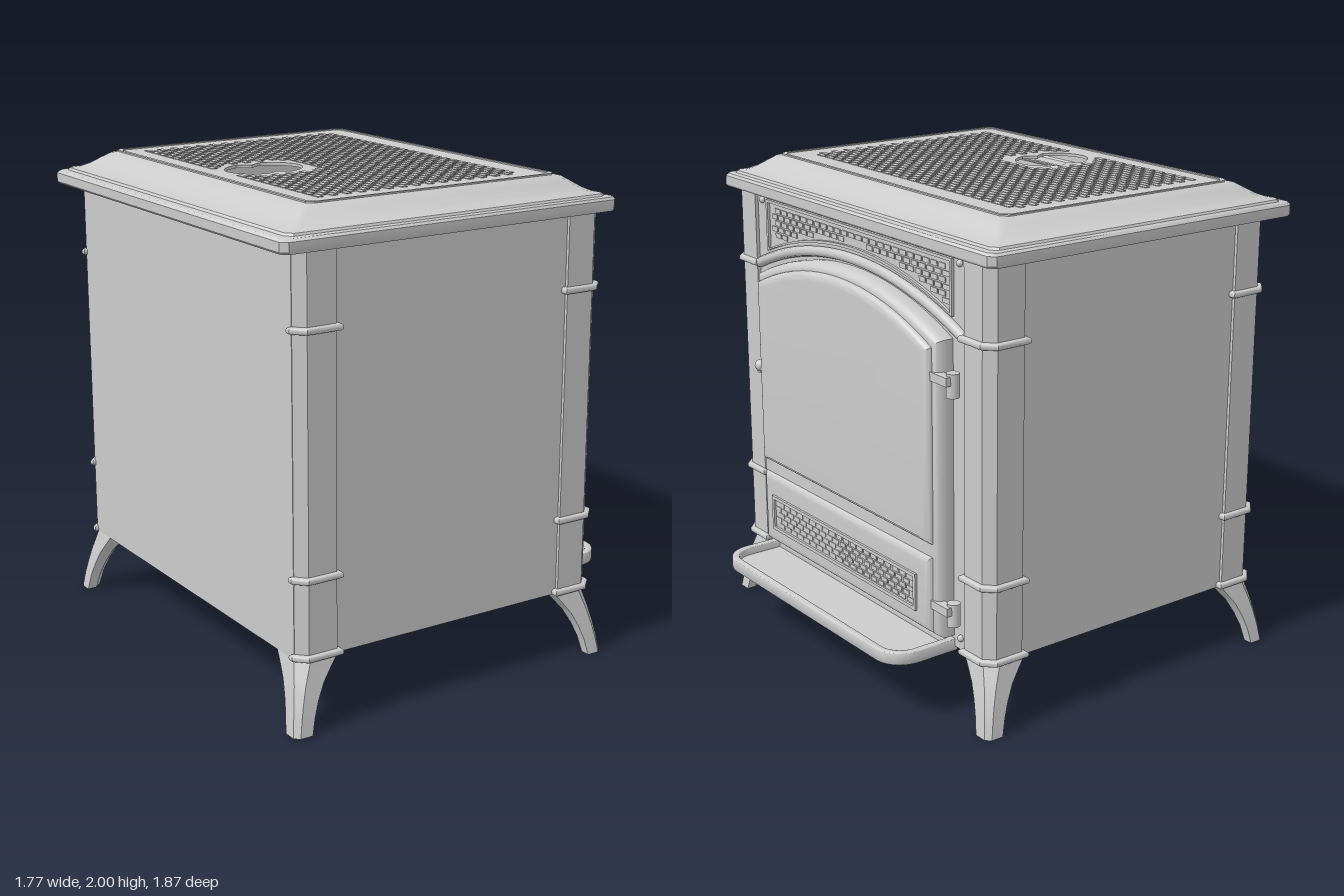
import * as THREE from 'three';
import { mergeGeometries, toCreasedNormals } from 'three/addons/utils/BufferGeometryUtils.js';

const mat = new THREE.MeshStandardMaterial({ color: 0xcccccc, side: THREE.DoubleSide });

export function createModel() {
  const root = new THREE.Group();
  const add = (name, geo, x = 0, y = 0, z = 0) => {
    const m = new THREE.Mesh(geo, mat);
    m.name = name;
    m.position.set(x, y, z);
    root.add(m);
    return m;
  };
  const poly = pts => new THREE.Shape(pts.map(p => new THREE.Vector2(p[0], p[1])));

  // Extrude a plan outline (x, -z) upwards from y
  const slab = (shape, y, h, bevel = 0) => {
    const g = new THREE.ExtrudeGeometry(shape, {
      depth: h, curveSegments: 16, bevelEnabled: bevel > 0, bevelSize: bevel, bevelThickness: bevel, bevelSegments: 4,
    });
    return toCreasedNormals(g.rotateX(-Math.PI / 2).translate(0, y, 0), 0.6);
  };
  // Extrude a front outline (-z, y) towards +x, bevelled inwards, ending at x1
  const facing = (shape, x0, x1, bevel = 0, thick = bevel) => {
    const g = new THREE.ExtrudeGeometry(shape, {
      depth: x1 - x0 - 2 * thick, curveSegments: 24, bevelEnabled: bevel > 0,
      bevelSize: bevel, bevelOffset: -bevel, bevelThickness: thick, bevelSegments: 6,
    });
    return toCreasedNormals(g.rotateY(Math.PI / 2).translate(x0 + thick, 0, 0), 0.6);
  };
  // Skin through a list of rings with equal point counts
  const loft = (rings, capEnd = false) => {
    const n = rings[0].length, idx = [];
    for (let i = 0; i < rings.length - 1; i++) for (let j = 0; j < n; j++) {
      const a = i * n + j, b = i * n + (j + 1) % n;
      idx.push(a, b, a + n, b, b + n, a + n);
    }
    if (capEnd) for (let j = 1; j < n - 1; j++) idx.push((rings.length - 1) * n, (rings.length - 1) * n + j, (rings.length - 1) * n + j + 1);
    const g = new THREE.BufferGeometry();
    g.setAttribute('position', new THREE.Float32BufferAttribute(rings.flat(2), 3));
    g.setIndex(idx);
    return toCreasedNormals(g, 0.6);
  };
  const arcY = (u, w, side, top) => {
    const h = top - side, R = (w * w + h * h) / (2 * h);
    return top - R + Math.sqrt(Math.max(0, R * R - u * u));
  };
  // Outline with a straight base and an arched top
  const arched = (w, y0, side, top) => {
    const pts = [[-w, y0], [w, y0]];
    for (let i = 0; i <= 24; i++) {
      const u = w - i * w / 12;
      pts.push([u, arcY(u, w, side, top)]);
    }
    return pts;
  };
  const rect = (u0, u1, v0, v1) => [[u0, v0], [u1, v0], [u1, v1], [u0, v1]];
  const framed = (outer, inner) => { const s = poly(outer); s.holes.push(poly(inner)); return s; };
  // Staggered embossed tiles; place(u, v) gives a position or null
  const weave = (u0, u1, v0, v1, du, dv, size, place) => {
    const parts = [];
    let row = 0;
    for (let v = v0 + dv / 2; v < v1; v += dv, row++)
      for (let u = u0 + du * (row % 2 ? 1 : 0.5); u < u1 - du * 0.4; u += du) {
        const p = place(u, v);
        if (p) parts.push(new THREE.BoxGeometry(...size).translate(...p));
      }
    return mergeGeometries(parts);
  };

  // Cabinet walls, open underneath
  for (const s of [1, -1]) add('sidePanel', new THREE.BoxGeometry(1.2, 1.57, 0.02), -0.1, 1.065, s * 0.857);
  add('backPanel', new THREE.BoxGeometry(0.02, 1.57, 1.68), -0.792, 1.065, 0);

  // Corner columns with bands and splayed legs
  const corner = (sx, sz, grow, lx, lz, c) => {
    const X = (sx > 0 ? 0.60 : -0.80) + sx * grow, Z = 0.88 + grow, t = 0.03 + grow;
    return poly([[0, -c], [0, -lz], [-t, -lz], [-t, -c - t * 0.4], [-c - t * 0.4, -t], [-lx, -t], [-lx, 0], [-c, 0]]
      .map(([a, b]) => [X + sx * a, -sz * (Z + b)]));
  };
  const legRows = [[0.28, 0, 0.165], [0.24, 0.008, 0.14], [0.19, 0.019, 0.112], [0.13, 0.031, 0.093], [0.07, 0.042, 0.081], [0, 0.052, 0.074]];
  for (const sx of [1, -1]) for (const sz of [1, -1]) {
    add('column', slab(corner(sx, sz, 0, 0.165, 0.15, 0.04), 0.28, 1.57));
    for (const y of [0.29, 0.60, 1.55])
      add('columnBand', slab(corner(sx, sz, 0.008, 0.182, sx > 0 ? 0.165 : 0.05, 0.042), y - 0.003, 0.006, 0.01));
    const rings = legRows.map(([y, o, w]) => [[o, o - w * 0.28], [o, o - w], [o - w * 0.55, o - w], [o - w, o - w * 0.55], [o - w, o], [o - w * 0.28, o]]
      .map(([a, b]) => [(sx > 0 ? 0.59 : -0.80) + sx * a, y, sz * (0.88 + b)]));
    add('leg', loft(rings, true));
  }

  // Lid: moulded rim rising to a flat top with the flue opening
  const lid = new THREE.Group();
  lid.name = 'lid';
  const ring = (d, y, c = 0.025) => {
    const x0 = -0.88 + d * 1.25, x1 = 0.645 - d * 1.1, z = 0.935 - d * 0.97;
    return [[x0 + c, z], [x1 - c, z], [x1, z - c], [x1, c - z], [x1 - c, -z], [x0 + c, -z], [x0, c - z], [x0, z - c]]
      .map(([x, zz]) => [x, y, zz]);
  };
  const rim = [[0.1, 1.85], [0.005, 1.85], [0, 1.858], [0, 1.895], [0.008, 1.905], [0.03, 1.908], [0.036, 1.917], [0.06, 1.922],
    [0.09, 1.938], [0.12, 1.962], [0.145, 1.981], [0.17, 1.988]].map(([d, y]) => ring(d, y));
  lid.add(add('lidRim', loft(rim)));
  const flat = pts => pts.map(p => [p[0], -p[2]]);
  const hole = [];
  for (let i = 0; i < 72; i++) {
    const a = i / 72 * Math.PI * 2, k = Math.max(0, 1 - Math.abs(Math.cos(a)) / 0.32);
    hole.push([-0.395 + 0.163 * Math.cos(a), 0.133 * Math.sin(a) * (1 - 0.3 * k) + 0.005]);
  }
  lid.add(add('lidTop', slab(framed(flat(ring(0.169, 0)), hole), 1.976, 0.012)));
  lid.add(add('lidTopBorder', slab(framed(flat(ring(0.167, 0)), flat(ring(0.18, 0))), 1.984, 0.009)));
  lid.add(add('lidWeave', weave(-0.69, 0.69, -0.58, 0.35, 0.06, 0.031, [0.025, 0.006, 0.048],
    (u, v) => Math.hypot((v + 0.395) / 0.2, u / 0.18) < 1 ? null : [v, 1.988, u])));
  lid.rotation.z = 0.006;
  root.add(lid);

  // Fixed front around the door
  add('frontPlate', facing(framed(rect(-0.74, 0.74, 0.28, 1.85), arched(0.58, 0.38, 1.46, 1.6)), 0.55, 0.585));
  const over = u => arcY(u, 0.72, 1.55, 1.705);
  const bar = [], top = [];
  for (let i = 0; i <= 24; i++) {
    const u = -0.72 + i * 0.06;
    bar.push(new THREE.Vector3(0.592, over(u), u));
    const t = -0.65 + i * 1.3 / 24;
    top.push([t, over(t) + 0.035]);
  }
  add('archMoulding', new THREE.TubeGeometry(new THREE.CatmullRomCurve3(bar), 48, 0.022, 8));
  const header = [...top, [0.65, 1.835], [-0.65, 1.835]];
  const headerIn = [...top.map(([u, v]) => [u * 0.98, v + 0.012]), [0.637, 1.823], [-0.637, 1.823]];
  add('headerBorder', facing(framed(header, headerIn), 0.58, 0.597));
  add('headerWeave', weave(-0.63, 0.63, 1.6, 1.82, 0.05, 0.026, [0.012, 0.02, 0.04],
    (u, v) => v > over(u) + 0.065 ? [0.583, v, u] : null));
  for (const z of [0.69, -0.69]) for (const y of [0.33, 1.825])
    add('screw', new THREE.SphereGeometry(0.014, 10, 8), 0.588, y, z);

  // Door with an open arched window
  const win = arched(0.52, 0.77, 1.44, 1.54);
  add('doorBody', facing(framed(arched(0.645, 0.325, 1.53, 1.675), arched(0.535, 0.755, 1.45, 1.555)), 0.55, 0.66, 0.03, 0.045));
  add('doorWindowSurround', facing(framed(arched(0.612, 0.715, 1.5, 1.64), win), 0.63, 0.684, 0.035, 0.024));
  add('windowBead', facing(framed(win, arched(0.505, 0.785, 1.43, 1.527)), 0.60, 0.655));
  add('doorLowerPanel', facing(poly(rect(-0.61, 0.61, 0.345, 0.66)), 0.62, 0.68, 0.035, 0.025));
  add('lowerPanelBorder', facing(framed(rect(-0.53, 0.53, 0.415, 0.57), rect(-0.515, 0.515, 0.43, 0.555)), 0.67, 0.69));
  add('lowerPanelWeave', weave(-0.51, 0.51, 0.433, 0.553, 0.05, 0.024, [0.012, 0.018, 0.04], (u, v) => [0.677, v, u]));

  // Hinges and latch
  for (const y of [1.38, 0.455]) {
    add('hingePin', new THREE.CylinderGeometry(0.026, 0.026, 0.095, 16), 0.625, y - 0.01, -0.695);
    add('hingeArm', new THREE.BoxGeometry(0.04, 0.035, 0.13), 0.648, y + 0.01, -0.645);
  }
  add('latchPin', new THREE.CylinderGeometry(0.013, 0.013, 0.08, 12).rotateZ(Math.PI / 2), 0.62, 1.1, 0.652);
  add('latchKnob', new THREE.SphereGeometry(0.025, 14, 10), 0.65, 1.12, 0.652);
  add('latchLever', new THREE.BoxGeometry(0.025, 0.07, 0.018), 0.615, 1.1, 0.66);

  // Ash tray shelf with a raised rim
  const tray = (x1, z, r) => {
    const s = new THREE.Shape();
    s.moveTo(0.58, -z);
    s.lineTo(x1 - r, -z);
    s.absarc(x1 - r, -z + r, r, -Math.PI / 2, 0, false);
    s.lineTo(x1, z - r);
    s.absarc(x1 - r, z - r, r, 0, Math.PI / 2, false);
    s.lineTo(0.58, z);
    s.closePath();
    return s;
  };
  add('ashShelfFloor', slab(tray(0.87, 0.64, 0.11), 0.265, 0.015));
  const rimShape = tray(0.873, 0.643, 0.113);
  const inner = tray(0.855, 0.625, 0.095).getPoints(16).map(p => new THREE.Vector2(Math.max(p.x, 0.6), p.y));
  rimShape.holes.push(new THREE.Path(inner));
  add('ashShelfRim', slab(rimShape, 0.267, 0.039, 0.007));
  return root;
}
